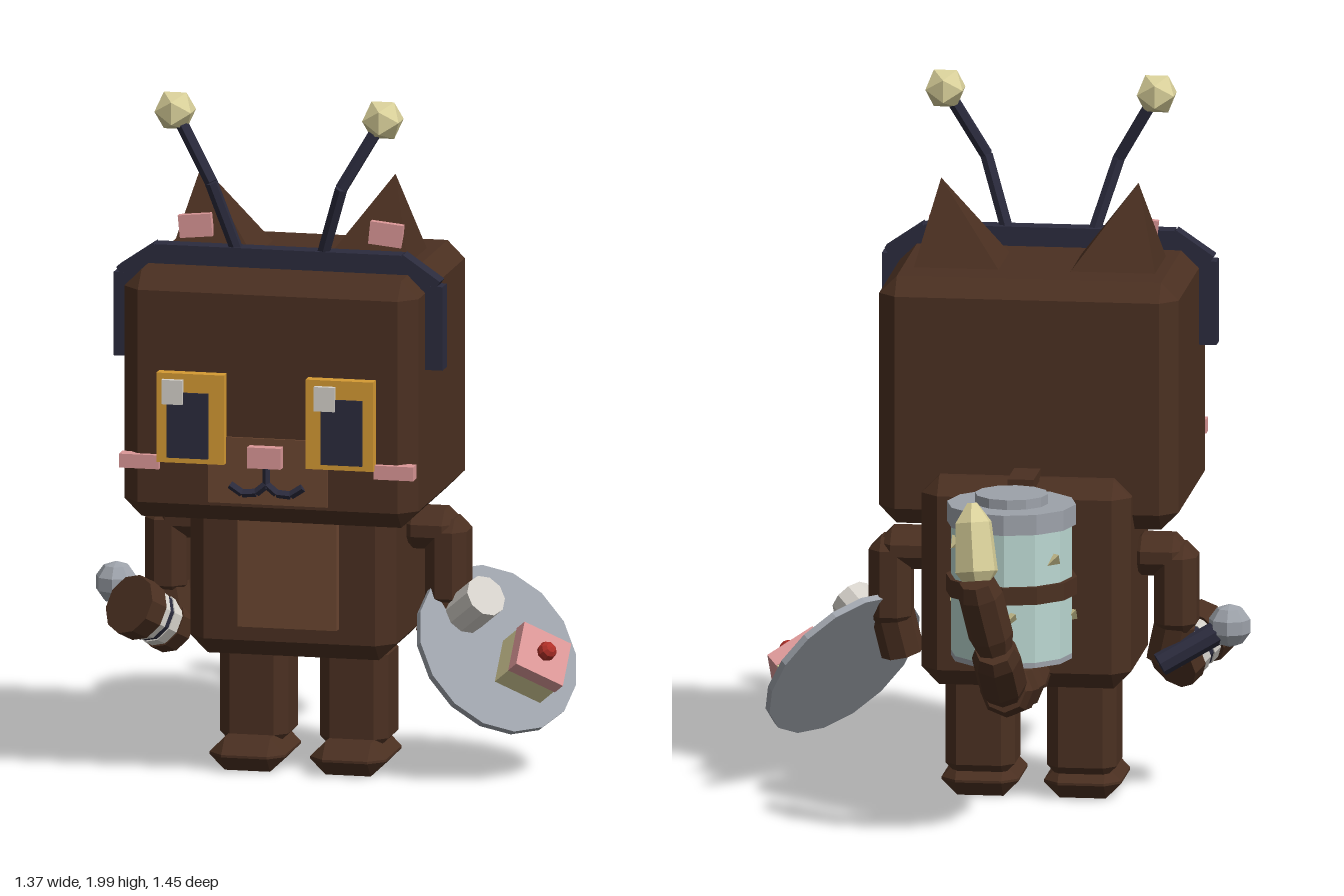
import * as THREE from 'three';
import { ConvexGeometry } from 'three/addons/geometries/ConvexGeometry.js';

const V = (x, y, z) => new THREE.Vector3(x, y, z);
const CX = -0.075; // the body's own middle plane

const mat = (name, color) => {
  const m = new THREE.MeshStandardMaterial({ color, flatShading: true });
  m.name = name;
  return m;
};

// Box with every edge and corner cut by b
function chamferBox(w, h, d, b) {
  const pts = [];
  for (const i of [-1, 1]) for (const j of [-1, 1]) for (const k of [-1, 1]) {
    const x = w / 2, y = h / 2, z = d / 2;
    pts.push(V(i * x, j * (y - b), k * (z - b)), V(i * (x - b), j * y, k * (z - b)), V(i * (x - b), j * (y - b), k * z));
  }
  return new ConvexGeometry(pts);
}

export function createModel() {
  const model = new THREE.Group();
  model.name = 'beeCat';
  const brown = mat('brown fur', 0x4b3021), tan = mat('light brown fur', 0x6c4631);
  const pink = mat('pink', 0xdb9797), gold = mat('gold', 0xd59a33), dark = mat('dark navy', 0x2b2b3d);
  const white = mat('off white', 0xd6d2cb), grey = mat('grey metal', 0x9da2aa);
  const mint = mat('mint glass', 0xbbd8d2), pale = mat('pale yellow', 0xd9d09a), red = mat('cherry red', 0xb02f28);

  const add = (name, geo, m, x = 0, y = 0, z = 0, parent = model) => {
    const mesh = new THREE.Mesh(geo, m);
    mesh.name = name;
    mesh.position.set(x, y, z);
    parent.add(mesh);
    return mesh;
  };
  const box = (name, m, x0, x1, y0, y1, z0, z1, b = 0) => add(name,
    b ? chamferBox(x1 - x0, y1 - y0, z1 - z0, b) : new THREE.BoxGeometry(x1 - x0, y1 - y0, z1 - z0),
    m, (x0 + x1) / 2, (y0 + y1) / 2, (z0 + z1) / 2);
  // Tapered rod between two points
  const rod = (name, m, a, b, r0, r1 = r0, sides = 8) => {
    const dir = b.clone().sub(a), c = a.clone().add(b).multiplyScalar(0.5);
    const mesh = add(name, new THREE.CylinderGeometry(r1, r0, dir.length(), sides), m, c.x, c.y, c.z);
    mesh.quaternion.setFromUnitVectors(V(0, 1, 0), dir.normalize());
    return mesh;
  };

  // Head and body
  box('head', brown, -0.5, 0.35, 0.79, 1.5, -0.01, 0.67, 0.05);
  box('body', brown, -0.375, 0.22, 0.345, 0.945, -0.085, 0.385, 0.05);
  box('belly', tan, -0.22, 0.066, 0.44, 0.85, 0.37, 0.415);
  box('muzzle', tan, -0.245, 0.1, 0.85, 1.04, 0.66, 0.677);
  box('nose', pink, -0.125, -0.028, 0.96, 1.02, 0.66, 0.71);

  // Mouth: short strokes mirrored about the middle
  rod('mouthStem', dark, V(CX, 0.965, 0.684), V(CX, 0.9, 0.684), 0.011, 0.011, 4);
  for (const s of [-1, 1]) {
    const p = [[0, 0.91], [0.03, 0.885], [0.07, 0.882], [0.105, 0.905]];
    for (let i = 0; i < 3; i++) {
      rod('mouthCurve', dark, V(CX + s * p[i][0], p[i][1], 0.684), V(CX + s * p[i + 1][0], p[i + 1][1], 0.684), 0.012, 0.012, 4);
    }
  }

  for (const s of [-1, 1]) {
    const X = (d) => CX + s * d;
    // mirrored box, given by distances from the middle plane
    const mbox = (name, m, d0, d1, ...rest) => box(name, m, Math.min(X(d0), X(d1)), Math.max(X(d0), X(d1)), ...rest);

    // Eyes and cheeks
    mbox('eye', gold, 0.118, 0.313, 0.965, 1.222, 0.66, 0.705);
    mbox('pupil', dark, 0.163, 0.282, 0.98, 1.168, 0.703, 0.712);
    const hx = s < 0 ? -0.34 : 0.1;
    box('eyeShine', white, hx - 0.03, hx + 0.03, 1.135, 1.205, 0.703, 0.721);
    mbox('cheek', pink, 0.31, 0.425, 0.94, 0.98, 0.645, 0.688);

    // Ears: leaning pyramids
    const ear = [V(X(0.28), 1.735, 0.28)];
    for (const d of [0.095, 0.345]) for (const z of [0.155, 0.405]) ear.push(V(X(d), 1.49, z));
    add('ear', new ConvexGeometry(ear), brown);
    add('innerEar', new THREE.BoxGeometry(0.095, 0.065, 0.022), pink, X(0.275), 1.58, 0.373).rotation.z = -s * 0.1;

    // Headband side and corner
    mbox('headbandSide', dark, 0.423, 0.475, 1.23, 1.47, 0.483, 0.538);
    add('headbandCorner', new THREE.BoxGeometry(0.13, 0.05, 0.055), dark, X(0.4), 1.5, 0.51).rotation.z = -s * 0.6;

    // Antennae
    const a = V(X(0.12), 1.53, 0.51), b = V(X(0.188), 1.745, 0.56), c = V(X(0.3), 1.94, 0.525);
    rod('antennaLower', dark, a, b, 0.019, 0.019, 6);
    rod('antennaUpper', dark, b, c, 0.019, 0.019, 6);
    add('antennaBall', new THREE.IcosahedronGeometry(0.062, 0), pale, c.x, c.y, c.z);

    // Legs and feet
    mbox('leg', brown, 0.046, 0.243, 0.06, 0.37, 0.05, 0.245, 0.035);
    mbox('foot', brown, 0.036, 0.255, 0, 0.095, 0.05, 0.335, 0.044);

    // Arms
    mbox('shoulder', brown, 0.27, 0.44, 0.64, 0.755, 0.082, 0.225, 0.04);
    mbox('upperArm', brown, 0.345, 0.465, 0.47, 0.73, 0.082, 0.225, 0.035);
    rod('forearm', brown, V(X(0.4), 0.5, 0.155), V(X(0.375), 0.39, 0.17), 0.062, 0.062, 8);
  }
  box('headbandTop', dark, -0.43, 0.28, 1.495, 1.555, 0.483, 0.538);

  // Drum held in the right hand, with a small dark-handled rattle
  const back = V(-0.47, 0.385, 0.165), front = V(-0.56, 0.465, 0.3);
  const at = (t) => back.clone().lerp(front, t);
  rod('drumBack', brown, at(-0.05), at(0.22), 0.083, 0.083, 10);
  rod('drumBandBack', white, at(0.22), at(0.4), 0.078, 0.078, 10);
  rod('drumMiddle', dark, at(0.4), at(0.5), 0.074, 0.074, 10);
  rod('drumBandFront', white, at(0.5), at(0.66), 0.078, 0.078, 10);
  rod('drumFront', brown, at(0.66), at(1), 0.088, 0.088, 10);
  rod('rattleHandle', dark, V(-0.44, 0.39, 0.09), V(-0.62, 0.49, 0.15), 0.034, 0.034, 8);
  add('rattleBall', new THREE.SphereGeometry(0.062, 8, 5), grey, -0.63, 0.495, 0.155);

  // Tilted plate with a cup and a small cake
  const tray = new THREE.Group();
  tray.name = 'plate';
  const n = V(0.64, 0.56, 0.53).normalize();
  const ez = V(0, -n.z, n.y).normalize();
  tray.quaternion.setFromRotationMatrix(new THREE.Matrix4().makeBasis(n.clone().cross(ez), n, ez));
  tray.position.set(0.47, 0.355, 0.165);
  model.add(tray);
  add('plateDisc', new THREE.CylinderGeometry(0.258, 0.258, 0.02, 16), grey, 0, 0, 0, tray);
  add('cup', new THREE.CylinderGeometry(0.062, 0.062, 0.12, 10), white, -0.123, 0.07, -0.06, tray);
  add('cake', new THREE.BoxGeometry(0.15, 0.08, 0.14), pale, 0.085, 0.05, 0.04, tray);
  add('icing', new THREE.BoxGeometry(0.155, 0.045, 0.145), pink, 0.085, 0.112, 0.04, tray);
  add('cherry', new THREE.SphereGeometry(0.028, 8, 6), red, 0.085, 0.152, 0.04, tray);

  // Jar carried on the back
  const JZ = -0.34;
  const ring = (name, m, r, y0, y1) => add(name, new THREE.CylinderGeometry(r, r, y1 - y0, 12), m, CX, (y0 + y1) / 2, JZ);
  ring('jarGlass', mint, 0.172, 0.51, 0.89);
  ring('jarBase', grey, 0.172, 0.495, 0.512);
  ring('jarLid', grey, 0.183, 0.88, 0.938);
  ring('jarCap', grey, 0.104, 0.935, 0.966);
  ring('jarBand', brown, 0.186, 0.68, 0.73);
  for (const [ang, y] of [[0.25, 0.66], [-0.55, 0.84], [1.2, 0.6], [2.2, 0.82], [3.1, 0.62], [3.8, 0.8], [4.6, 0.64]]) {
    add('jarCharm', new THREE.TetrahedronGeometry(0.028), pale, CX + 0.168 * Math.cos(ang), y, JZ + 0.168 * Math.sin(ang));
  }
  box('strapTop', brown, -0.115, -0.04, 0.937, 0.967, -0.165, 0);
  box('strapEnd', brown, -0.115, -0.04, 0.895, 0.94, -0.165, -0.14);

  // Tail: faceted segments curling up to a pale tip
  const tail = [V(CX, 0.4, 0.02), V(CX, 0.42, -0.1), V(CX, 0.39, -0.27), V(-0.07, 0.42, -0.46), V(-0.06, 0.57, -0.6), V(-0.02, 0.78, -0.67)];
  for (let i = 0; i < tail.length - 1; i++) {
    const a = tail[i], b = tail[i + 1], r = 0.088 - i * 0.006;
    const q = a.clone().lerp(b, 0.2), w = a.clone().lerp(b, 0.8);
    rod('tailSegment', brown, q, w, r, r, 8);
    rod('tailJoint', brown, a, q, r * 0.8, r, 8);
    rod('tailJoint', brown, w, b, r, r * 0.8, 8);
  }
  const t0 = tail[5], t1 = V(0.0, 0.995, -0.625);
  const m1 = t0.clone().lerp(t1, 0.12), m2 = t0.clone().lerp(t1, 0.75);
  rod('tailTip', pale, t0, m1, 0.045, 0.065, 6);
  rod('tailTip', pale, m1, m2, 0.065, 0.055, 6);
  rod('tailTip', pale, m2, t1, 0.055, 0.015, 6);

  return model;
}
